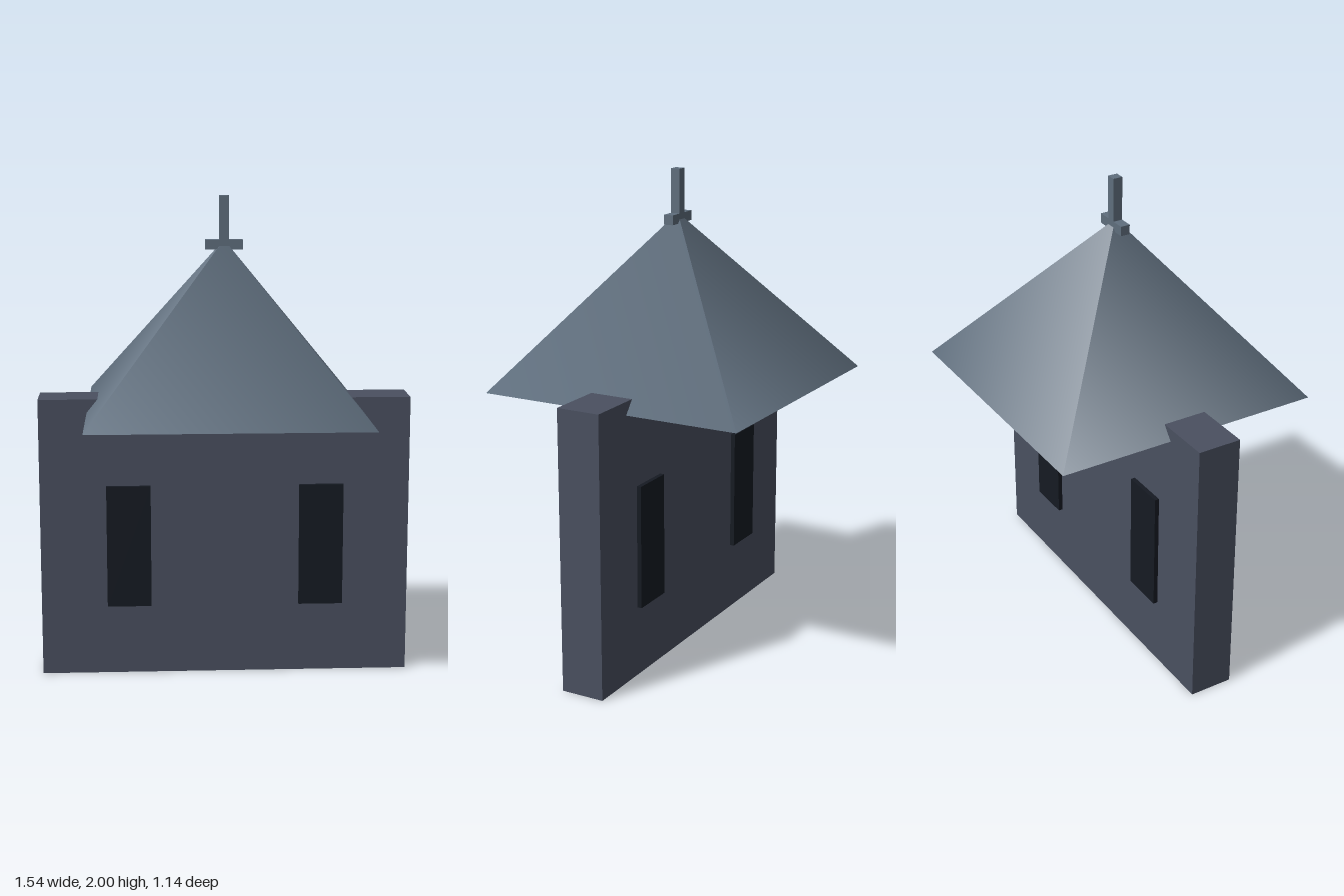
import * as THREE from 'three';

const wallMat = new THREE.MeshStandardMaterial({ color: 0x4a5060 });
const roofMat = new THREE.MeshStandardMaterial({ color: 0x5f6e7d });
const windowMat = new THREE.MeshStandardMaterial({ color: 0x151a22 });

function add(parent, name, geometry, material, x, y, z) {
  const mesh = new THREE.Mesh(geometry, material);
  mesh.name = name;
  mesh.position.set(x, y, z);
  parent.add(mesh);
  return mesh;
}

// Box given by its width, bottom, top and depth
function addBox(parent, name, material, x, width, bottom, top, depth) {
  const geometry = new THREE.BoxGeometry(width, top - bottom, depth);
  return add(parent, name, geometry, material, x, (bottom + top) / 2, 0);
}

export function createModel() {
  const model = new THREE.Group();
  model.name = 'gatehouse';

  // Wall slab
  addBox(model, 'wall', wallMat, 0, 1.54, 0, 1.175, 0.185);

  // Dark windows, standing slightly proud of both wall faces
  for (const [name, side] of [['leftWindow', 1], ['rightWindow', -1]]) {
    addBox(model, name, windowMat, side * 0.402, 0.184, 0.295, 0.81, 0.222);
  }

  // Smooth-shaded pyramid roof with a closed underside
  const base = 1.12, apex = 1.82, half = 0.57;
  const roofGeometry = new THREE.ConeGeometry(half * Math.SQRT2, apex - base, 4);
  roofGeometry.rotateY(Math.PI / 4);
  add(model, 'roof', roofGeometry, roofMat, 0, (base + apex) / 2, 0);

  // Finial: post with a low crossbar
  const finial = new THREE.Group();
  finial.name = 'finial';
  addBox(finial, 'finialPost', roofMat, 0, 0.04, 1.78, 2, 0.04);
  addBox(finial, 'finialCrossbar', roofMat, 0, 0.154, 1.78, 1.82, 0.04);
  model.add(finial);

  return model;
}
